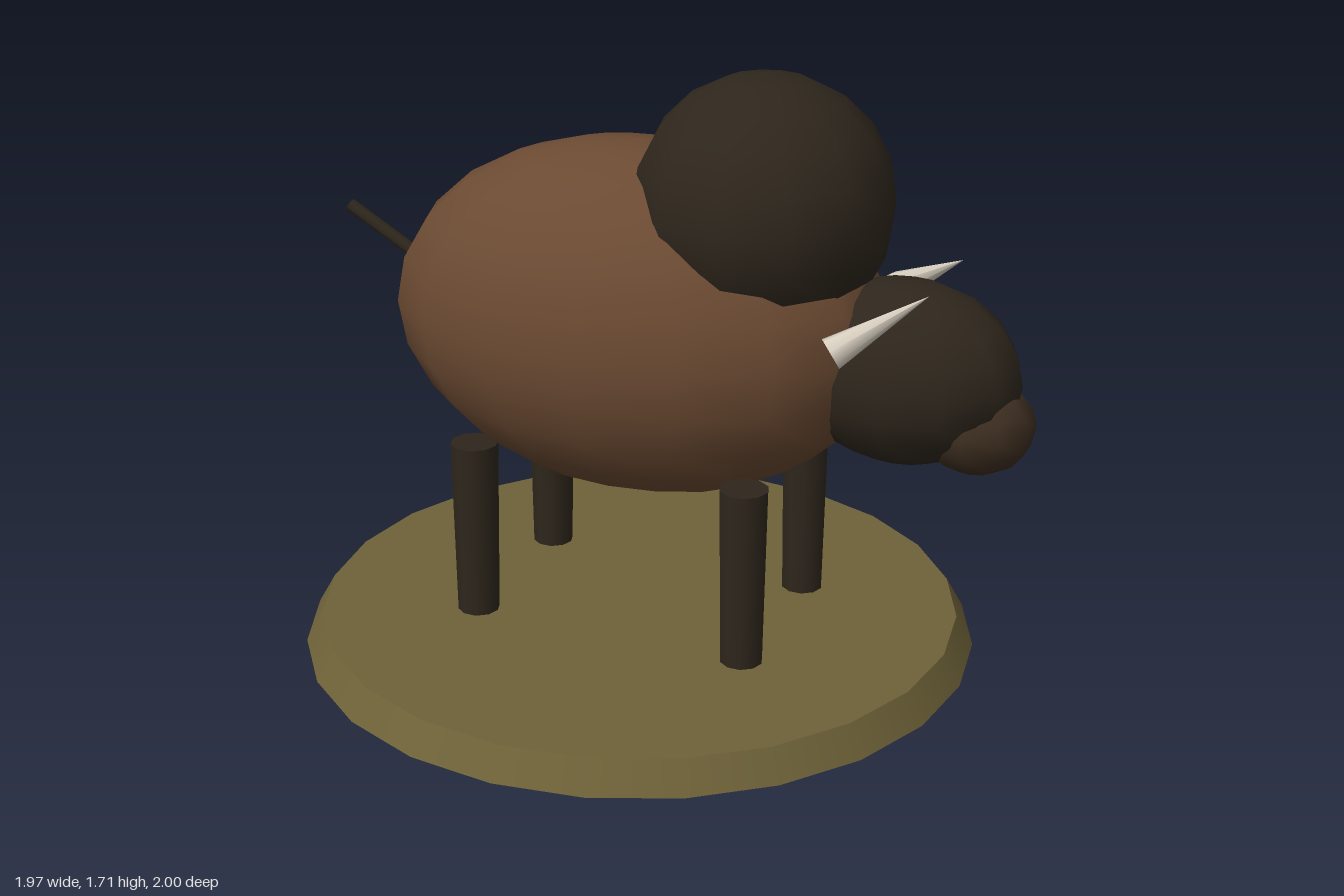
import * as THREE from 'three';

const mat = (color) => new THREE.MeshStandardMaterial({ color });
const brown = mat(0x6b4a32), dark = mat(0x2e261c), muzzle = mat(0x3d2e20);
const ivory = mat(0xd8cfc0), earth = mat(0x6e6238);

function add(parent, name, geometry, material) {
  const mesh = new THREE.Mesh(geometry, material);
  mesh.name = name;
  parent.add(mesh);
  return mesh;
}

// Sphere stretched to the given half sizes
function ellipsoid(parent, name, material, segs, center, radii) {
  const mesh = add(parent, name, new THREE.SphereGeometry(1, segs[0], segs[1]).scale(...radii), material);
  mesh.position.set(...center);
}

// Tapered round bar from point a to point b
function bar(parent, name, material, a, b, ra, rb, sides) {
  const from = new THREE.Vector3(...a), to = new THREE.Vector3(...b);
  const dir = to.clone().sub(from);
  const mesh = add(parent, name, new THREE.CylinderGeometry(rb, ra, dir.length(), sides), material);
  mesh.position.copy(from).add(to).multiplyScalar(0.5);
  mesh.quaternion.setFromUnitVectors(new THREE.Vector3(0, 1, 0), dir.normalize());
}

export function createModel() {
  const model = new THREE.Group();
  model.name = 'bisonOnBase';

  // Round base with a bevelled rim
  const base = add(model, 'base', new THREE.CylinderGeometry(0.935, 0.985, 0.088, 24), earth);
  base.position.set(0, 0.044, -0.015);

  // The animal is turned on its base; its own forward axis is +z
  const bison = new THREE.Group();
  bison.name = 'bison';
  bison.position.z = -0.015;
  bison.rotation.y = Math.PI / 6;
  model.add(bison);

  ellipsoid(bison, 'body', brown, [16, 12], [0, 0.98, 0], [0.455, 0.51, 0.74]);
  ellipsoid(bison, 'hump', dark, [12, 10], [0, 1.35, 0.37], [0.365, 0.36, 0.365]);
  ellipsoid(bison, 'head', dark, [12, 10], [0, 0.925, 0.78], [0.225, 0.26, 0.33]);
  ellipsoid(bison, 'snout', muzzle, [10, 8], [0, 0.8, 0.99], [0.147, 0.135, 0.162]);

  // Legs and horns, mirrored
  for (const side of [-1, 1]) {
    const label = side > 0 ? 'left' : 'right';
    bar(bison, label + 'FrontLeg', dark, [side * 0.255, 0.09, 0.42], [side * 0.255, 0.615, 0.42], 0.061, 0.069, 10);
    bar(bison, label + 'BackLeg', dark, [side * 0.255, 0.09, -0.405], [side * 0.255, 0.615, -0.405], 0.061, 0.069, 10);
    bar(bison, label + 'Horn', ivory, [side * 0.293, 1.057, 0.667], [side * 0.163, 1.205, 0.888], 0.045, 0, 8);
  }

  // Raised tail
  bar(bison, 'tail', dark, [0, 1.03, -0.65], [0, 1.19, -0.93], 0.02, 0.02, 8);

  return model;
}
